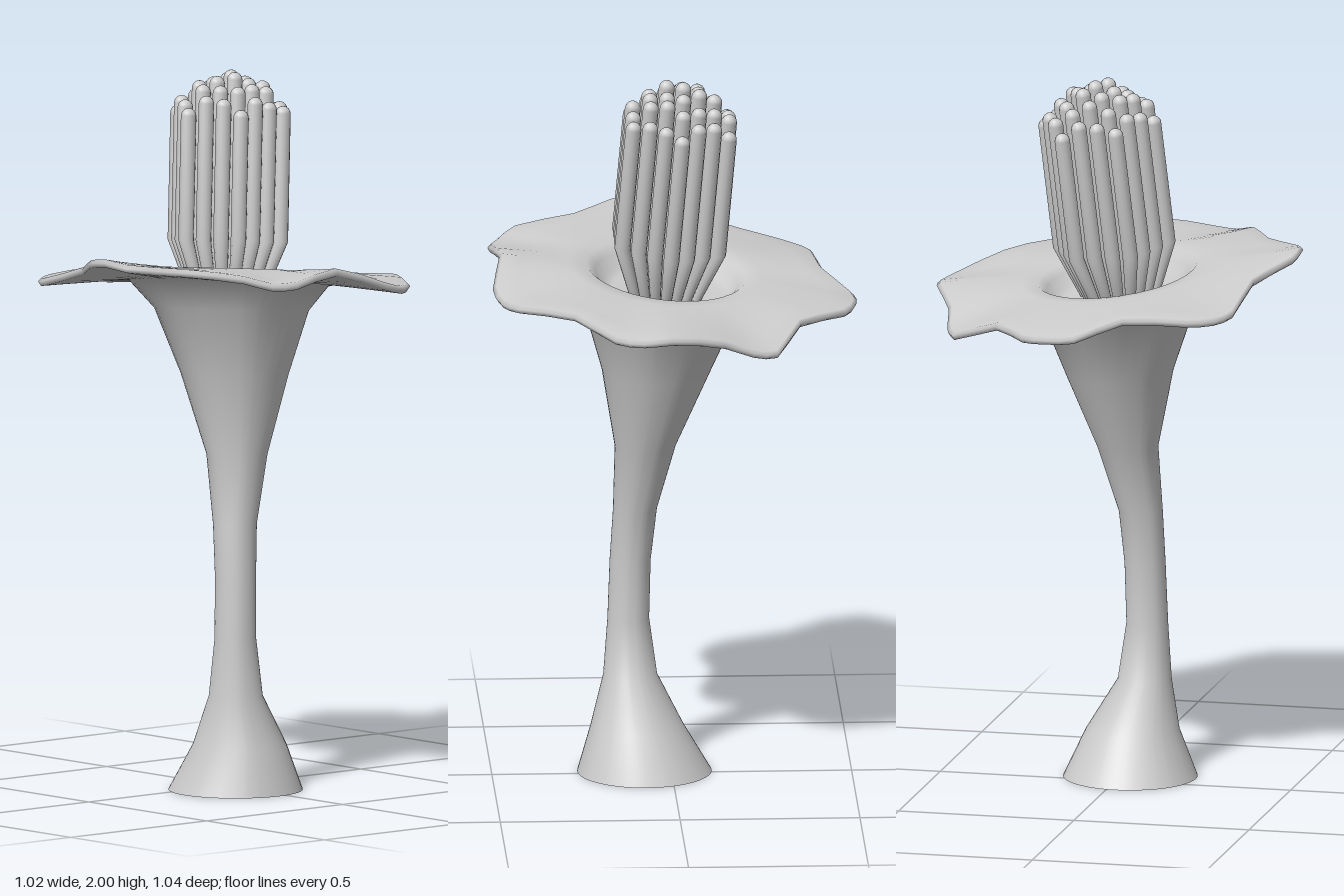
import * as THREE from 'three';

const material = new THREE.MeshStandardMaterial({ color: 0xcccccc });
const SEGMENTS = 54;

// wavy seven-lobed edge of the bloom: x, y, z
const RIM = [
  [0.02, 1.39, -0.515], [0.1, 1.385, -0.52], [0.18, 1.39, -0.495], [0.29, 1.43, -0.39],
  [0.44, 1.43, -0.3], [0.485, 1.43, -0.24], [0.505, 1.45, -0.16], [0.48, 1.5, 0],
  [0.505, 1.48, 0.17], [0.48, 1.48, 0.24], [0.43, 1.5, 0.3], [0.26, 1.51, 0.385],
  [0.15, 1.52, 0.495], [0.08, 1.53, 0.515], [0.01, 1.52, 0.51], [-0.12, 1.48, 0.425],
  [-0.3, 1.43, 0.41], [-0.365, 1.42, 0.37], [-0.405, 1.42, 0.3], [-0.425, 1.42, 0.12],
  [-0.505, 1.38, 0], [-0.51, 1.375, -0.08], [-0.48, 1.37, -0.155], [-0.35, 1.37, -0.26],
  [-0.28, 1.32, -0.4], [-0.21, 1.33, -0.43], [-0.13, 1.36, -0.445],
].map((p) => new THREE.Vector3(...p));
const rimCurve = new THREE.CatmullRomCurve3(RIM, true, 'centripetal');
const rim = Array.from({ length: SEGMENTS }, (_, j) => rimCurve.getPoint(j / SEGMENTS));

// circle in step with the rim points; tilt follows the lean of the bloom
function ring(cx, y, cz, r, tilt = 0) {
  return rim.map((p) => {
    const a = Math.atan2(p.z, p.x);
    const x = r * Math.cos(a), z = r * Math.sin(a);
    return new THREE.Vector3(cx + x, y + tilt * (0.1 * x + 0.12 * z), cz + z);
  });
}

// ring between a circle and the rim
function blend(circle, k, drop, scale = 1) {
  return circle.map((p, j) => {
    const q = rim[j].clone();
    q.x *= scale;
    q.z *= scale;
    q.y -= drop;
    return p.clone().lerp(q, k);
  });
}

function loft(rings) {
  const index = [];
  for (let i = 0; i < rings.length - 1; i++) {
    for (let j = 0; j < SEGMENTS; j++) {
      const k = (j + 1) % SEGMENTS;
      const a = i * SEGMENTS + j, b = i * SEGMENTS + k;
      index.push(a, a + SEGMENTS, b, b, a + SEGMENTS, b + SEGMENTS);
    }
  }
  const geometry = new THREE.BufferGeometry().setFromPoints(rings.flat());
  geometry.setIndex(index);
  geometry.computeVertexNormals();
  return geometry;
}

function addMesh(parent, name, geometry) {
  const mesh = new THREE.Mesh(geometry, material);
  mesh.name = name;
  parent.add(mesh);
  return mesh;
}

export function createModel() {
  const model = new THREE.Group();
  model.name = 'trumpetFlower';

  // curved stem widening into the bloom, over the rim and down into the throat
  const under = ring(0.025, 1.415, 0.005, 0.28, 1);
  const over = ring(0.02, 1.45, 0.005, 0.27, 1);
  addMesh(model, 'stemAndBloom', loft([
    ring(0.075, 0, 0.025, 0.187),
    ring(0.095, 0.13, 0.027, 0.13),
    ring(0.113, 0.27, 0.057, 0.075),
    ring(0.118, 0.43, 0.063, 0.058),
    ring(0.113, 0.6, 0.058, 0.057),
    ring(0.1, 0.75, 0.049, 0.061),
    ring(0.073, 0.94, 0.018, 0.085),
    ring(0.045, 1.16, 0.002, 0.15, 0.4),
    ring(0.034, 1.34, 0.004, 0.215, 0.8),
    under,
    blend(under, 0.4, 0.022),
    blend(under, 0.75, 0.022),
    blend(under, 1, 0.022, 0.985),
    blend(under, 1, 0.01),
    blend(over, 1, 0, 0.98),
    blend(over, 0.7, 0),
    blend(over, 0.35, 0),
    over,
    ring(0.015, 1.445, 0.003, 0.22, 1),
    ring(0.015, 1.425, 0.003, 0.198, 1),
    ring(0.015, 1.395, 0.003, 0.175, 1),
    ring(0.015, 1.385, 0.003, 0.15, 1),
    ring(0.015, 1.385, 0.003, 0.001, 1),
  ]));

  // foot of the stem
  const foot = addMesh(model, 'stemFoot', new THREE.CircleGeometry(0.187, SEGMENTS));
  foot.rotation.x = Math.PI / 2;
  foot.position.set(0.075, 0, 0.025);

  // leaning bundle of round-tipped stamens in a hexagon, drawn together at the base
  const stamens = new THREE.Group();
  stamens.name = 'stamens';
  stamens.position.set(0.02, 1.38, 0.01);
  stamens.quaternion.setFromUnitVectors(
    new THREE.Vector3(0, 1, 0), new THREE.Vector3(-0.083, 1, -0.1).normalize());
  model.add(stamens);

  const R = 0.022, BEND = 0.15;
  for (let col = -3; col <= 3; col++) {
    const count = 7 - Math.abs(col);
    for (let row = 0; row < count; row++) {
      const x = col * 0.0445, z = (row - (count - 1) / 2) * 0.0513;
      const length = 0.622 - 4.2 * (x * x + z * z) + 0.008 * Math.sin(col * 5 + row * 3);
      const profile = [[0.014, 0], [R, BEND], [R, length - R]];
      for (let i = 1; i <= 4; i++) {
        const a = (i * Math.PI) / 8;
        profile.push([Math.max(R * Math.cos(a), 0), length - R + R * Math.sin(a)]);
      }
      const geometry = new THREE.LatheGeometry(profile.map((p) => new THREE.Vector2(...p)), 12);
      const pos = geometry.attributes.position;
      for (let i = 0; i < pos.count; i++) {
        const spread = pos.getY(i) < BEND / 2 ? 0.64 : 1;
        pos.setX(i, pos.getX(i) + x * spread);
        pos.setZ(i, pos.getZ(i) + z * spread);
      }
      geometry.computeVertexNormals();
      addMesh(stamens, 'stamen', geometry);
    }
  }
  return model;
}
